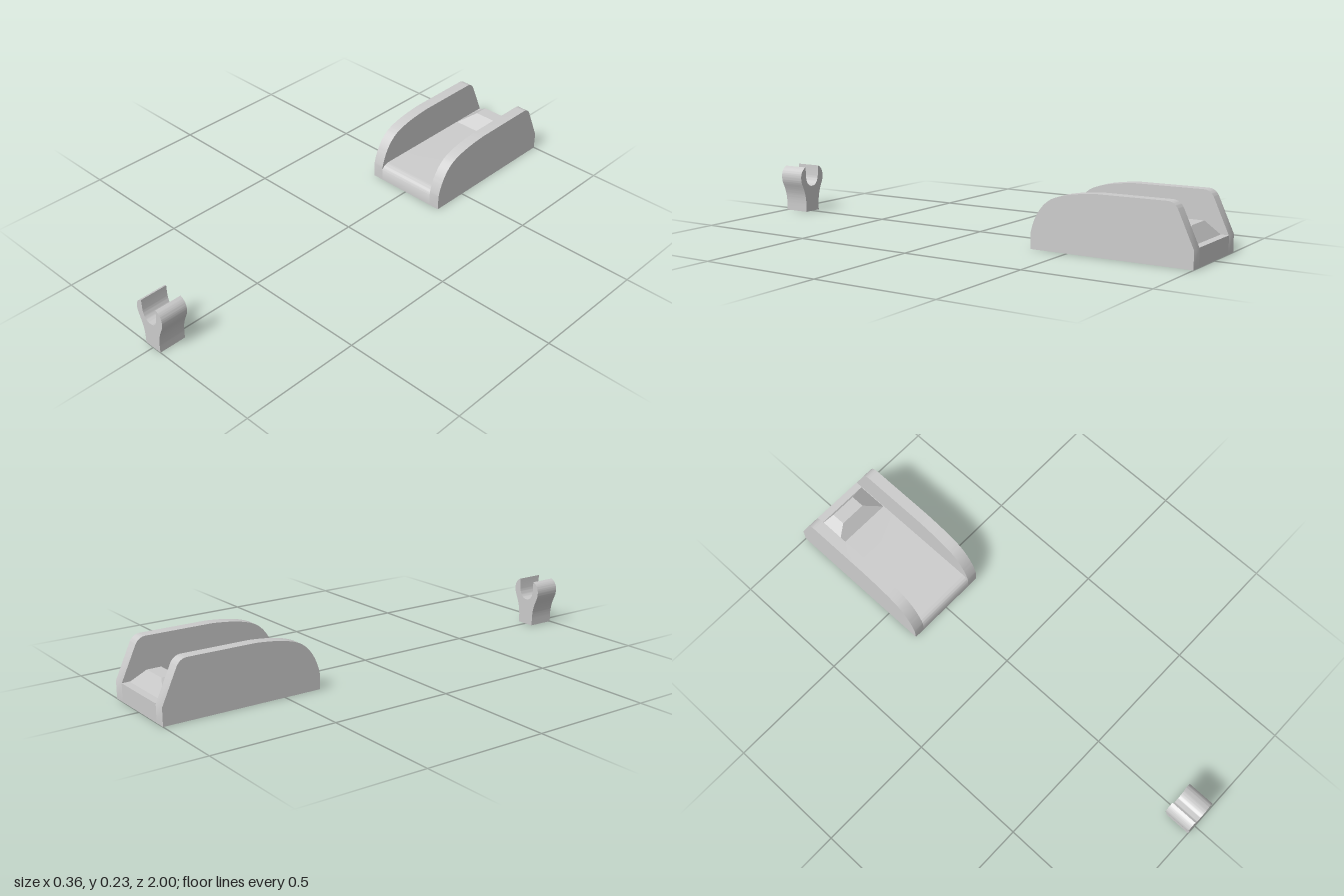
import * as THREE from 'three';
import { toCreasedNormals } from 'three/addons/utils/BufferGeometryUtils.js';

const material = new THREE.MeshStandardMaterial({ color: 0xcccccc });

function part(name, geometry, crease = 0.5) {
  const mesh = new THREE.Mesh(toCreasedNormals(geometry, crease), material);
  mesh.name = name;
  return mesh;
}

function extrude(shape, depth) {
  return new THREE.ExtrudeGeometry(shape, { depth, bevelEnabled: false, curveSegments: 16 });
}

// Side profile (shape x = -z) extruded across x from x0 to x1
function extrudeAcross(shape, x0, x1) {
  return extrude(shape, x1 - x0).rotateY(Math.PI / 2).translate(x0, 0, 0);
}

// Four-sided frustum; each rectangle is [halfWidth, y, zBack, zFront]
function frustum(base, top) {
  const ring = ([w, y, b, f]) => [-w, y, f, w, y, f, w, y, b, -w, y, b];
  const index = [4, 5, 6, 4, 6, 7, 0, 2, 1, 0, 3, 2];
  for (let i = 0; i < 4; i++) {
    const j = (i + 1) % 4;
    index.push(i, j, j + 4, i, j + 4, i + 4);
  }
  const g = new THREE.BufferGeometry();
  g.setAttribute('position', new THREE.Float32BufferAttribute([...ring(base), ...ring(top)], 3));
  g.setIndex(index);
  return g;
}

export function createModel() {
  const model = new THREE.Group();
  model.name = 'cradleAndClip';
  const inner = 0.133, outer = 0.18, front = 0.345;

  // Cradle: floor, two side walls and the raised wedge at the back
  const cradle = new THREE.Group();
  cradle.name = 'cradle';

  const floor = new THREE.Shape();
  floor.moveTo(front, 0);
  floor.lineTo(1, 0);
  floor.lineTo(1, 0.072);
  floor.lineTo(front + 0.045, 0.072);
  floor.quadraticCurveTo(front + 0.008, 0.072, front, 0.05);
  floor.closePath();
  cradle.add(part('floor', extrudeAcross(floor, -inner, inner)));

  const wall = new THREE.Shape();
  wall.moveTo(front, 0);
  wall.lineTo(1, 0);
  wall.lineTo(1, 0.07);
  wall.lineTo(0.938, 0.205);
  wall.quadraticCurveTo(0.924, 0.233, 0.895, 0.233);
  wall.lineTo(0.62, 0.232);
  wall.bezierCurveTo(0.53, 0.226, 0.47, 0.215, 0.43, 0.195);
  wall.bezierCurveTo(0.385, 0.17, 0.355, 0.115, front, 0.06);
  wall.closePath();
  cradle.add(part('leftWall', extrudeAcross(wall, inner, outer)));
  cradle.add(part('rightWall', extrudeAcross(wall, -outer, -inner)));

  const wedge = frustum([inner, 0.07, -0.97, -0.835], [0.056, 0.132, -0.935, -0.877]);
  cradle.add(part('wedge', wedge, 0.2));
  model.add(cradle);

  // Open-topped clip standing apart at the front
  const clip = new THREE.Shape();
  clip.moveTo(-0.04, 0);
  clip.lineTo(0.04, 0);
  clip.lineTo(0.04, 0.03);
  clip.bezierCurveTo(0.041, 0.062, 0.046, 0.08, 0.054, 0.1);
  clip.bezierCurveTo(0.062, 0.12, 0.07, 0.13, 0.07, 0.152);
  clip.bezierCurveTo(0.07, 0.174, 0.059, 0.19, 0.04, 0.197);
  clip.lineTo(0.039, 0.158);
  clip.bezierCurveTo(0.037, 0.13, 0.024, 0.111, 0, 0.111);
  clip.bezierCurveTo(-0.024, 0.111, -0.037, 0.13, -0.039, 0.158);
  clip.lineTo(-0.04, 0.197);
  clip.bezierCurveTo(-0.059, 0.19, -0.07, 0.174, -0.07, 0.152);
  clip.bezierCurveTo(-0.07, 0.13, -0.062, 0.12, -0.054, 0.1);
  clip.bezierCurveTo(-0.046, 0.08, -0.041, 0.062, -0.04, 0.03);
  clip.closePath();
  model.add(part('clip', extrude(clip, 0.112).translate(0, 0, 0.888)));

  return model;
}
